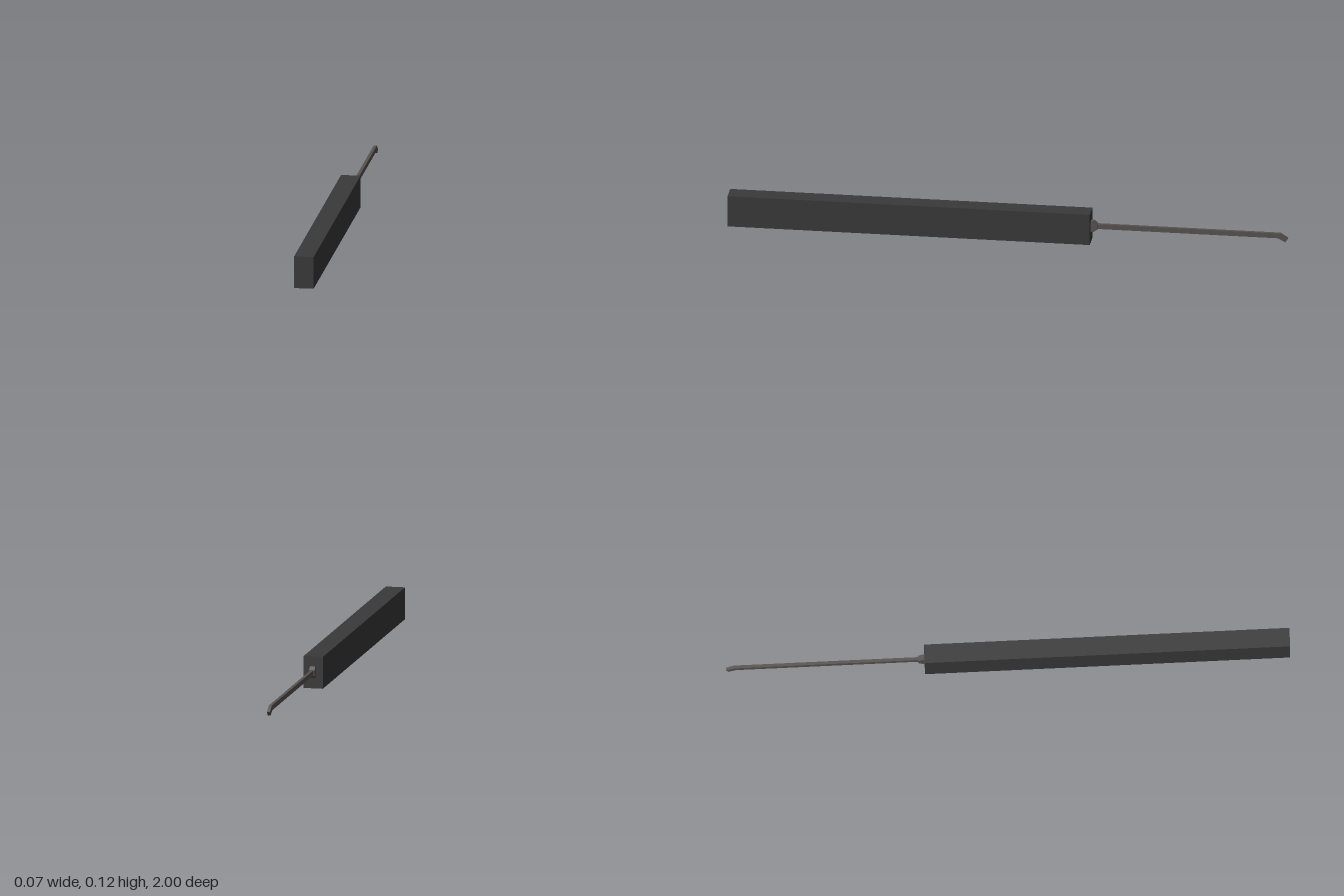
import * as THREE from 'three';

// Extrudes a side outline of [z, y] points to a width centred on x = 0
function sidePlate(points, width) {
  const shape = new THREE.Shape(points.map(([z, y]) => new THREE.Vector2(z, y)));
  const geometry = new THREE.ExtrudeGeometry(shape, { depth: width, bevelEnabled: false });
  geometry.translate(0, 0, -width / 2);
  geometry.rotateY(-Math.PI / 2);
  return geometry;
}

export function createModel() {
  const group = new THREE.Group();
  const bodyMaterial = new THREE.MeshStandardMaterial({ color: 0x393939 });
  bodyMaterial.name = 'charcoal';
  const metalMaterial = new THREE.MeshStandardMaterial({ color: 0x585250 });
  metalMaterial.name = 'warm grey metal';

  const add = (name, geometry, material) => {
    const mesh = new THREE.Mesh(geometry, material);
    mesh.name = name;
    group.add(mesh);
    return mesh;
  };

  // Long rectangular handle
  add('handle', new THREE.BoxGeometry(0.07, 0.115, 1.295), bodyMaterial)
    .position.set(0, 0.0575, 0.3525);

  // Small chamfered collar where the rod leaves the handle
  add('collar', sidePlate([
    [-0.285, 0.04], [-0.305, 0.04], [-0.318, 0.05],
    [-0.318, 0.07], [-0.305, 0.08], [-0.285, 0.08],
  ], 0.02), metalMaterial);

  // Thin rod with its tip bent down
  add('rod', sidePlate([
    [-0.3, 0.051], [-0.963, 0.051], [-0.99, 0.037],
    [-1, 0.051], [-0.972, 0.069], [-0.3, 0.069],
  ], 0.011), metalMaterial);

  return group;
}
